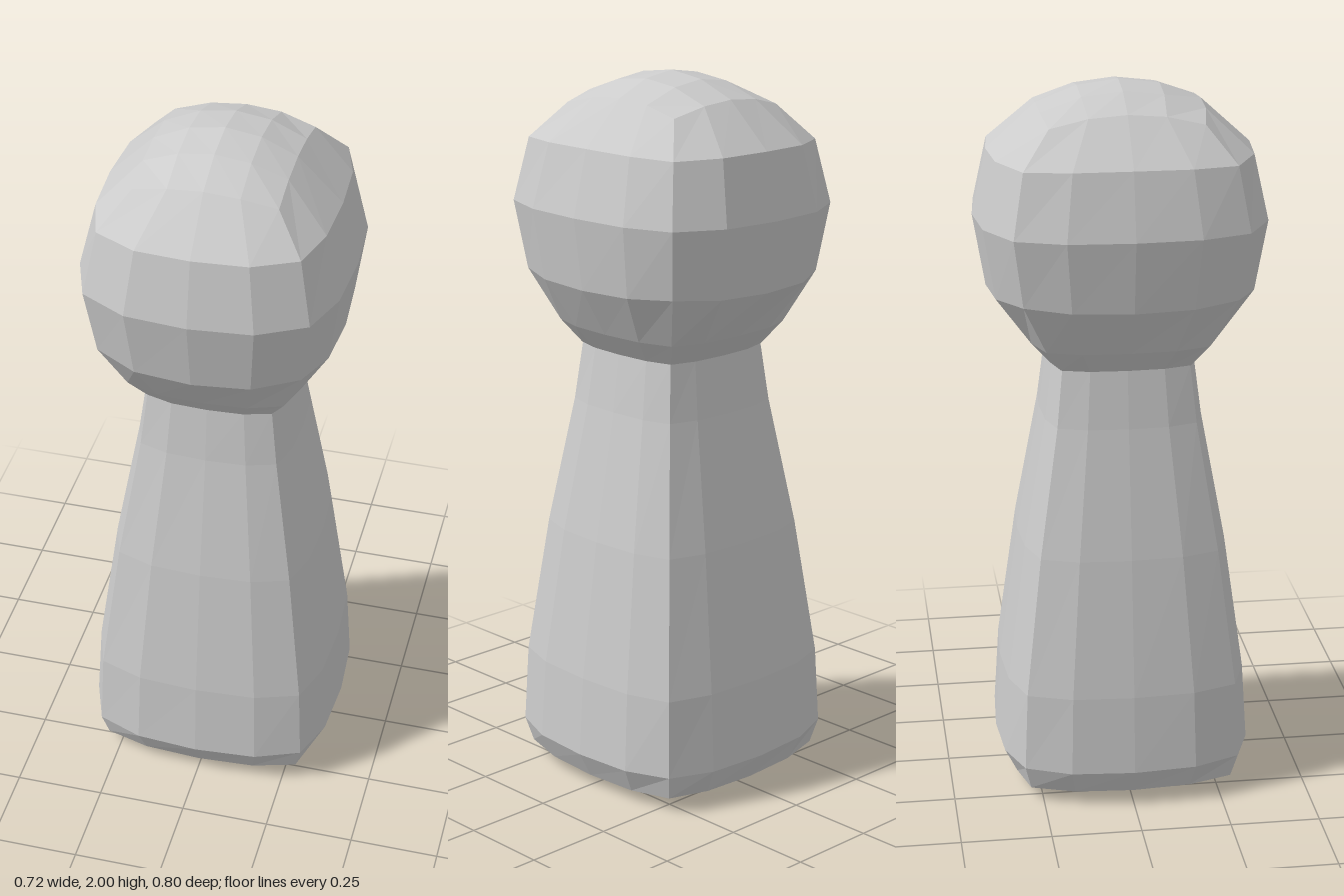
import * as THREE from 'three';

const BODY_CAP = 0, HEAD_CAP = 2; // y of the centre of each end cap

// Rings as [y at mid side, y at corner, x mid, z mid, x corner, z corner, quarter point]
const bodyRings = [
  [0.03, 0.04, 0.32, 0.32, 0.285, 0.285, 0.57],
  [0.105, 0.11, 0.36, 0.36, 0.302, 0.302, 0.58],
  [0.33, 0.33, 0.345, 0.345, 0.293, 0.293, 0.58],
  [0.72, 0.72, 0.29, 0.29, 0.247, 0.247, 0.58],
  [1.08, 1.08, 0.223, 0.223, 0.192, 0.192, 0.58],
  [1.24, 1.24, 0.2, 0.202, 0.174, 0.176, 0.58],
];
const headRings = [
  [1.24, 1.24, 0.2, 0.205, 0.174, 0.178, 0.57],
  [1.305, 1.305, 0.252, 0.262, 0.215, 0.222, 0.57],
  [1.44, 1.45, 0.333, 0.366, 0.275, 0.288, 0.57],
  [1.64, 1.64, 0.36, 0.4, 0.301, 0.314, 0.57],
  [1.82, 1.815, 0.314, 0.36, 0.268, 0.284, 0.56],
  [1.942, 1.91, 0.192, 0.225, 0.192, 0.208, 0.5],
];

// Point on a rounded square; u and v run from -1 to 1, the rim is where either reaches 1
function place(ring, u, v, peak) {
  const [ym, yc, xm, zm, xc, zc] = ring;
  const uu = u * u, vv = v * v;
  const m = ym - peak;
  return [
    u * (xm - (xm - xc) * Math.abs(v) ** 3),
    peak + m * (uu + vv) + (yc - peak - 2 * m) * uu * vv,
    v * (zm - (zm - zc) * Math.abs(u) ** 3),
  ];
}

const steps = (q) => [-1, -q, 0, q, 1];

// The sixteen rim points, starting along the front and running counter-clockwise from above
function rim(ring) {
  const s = steps(ring[6]);
  const points = [];
  for (let i = 0; i < 4; i++) points.push([s[i], 1]);
  for (let i = 0; i < 4; i++) points.push([1, -s[i]]);
  for (let i = 0; i < 4; i++) points.push([-s[i], -1]);
  for (let i = 0; i < 4; i++) points.push([-1, s[i]]);
  // Rim heights blend from mid side to corner
  return points.map(([u, v]) => place(ring, u, v, ring[0] === headRings[5][0] ? HEAD_CAP : ring[0] === bodyRings[0][0] ? BODY_CAP : ring[0]));
}

function buildPart(name, rings, capRing, peak, facesUp) {
  const position = [];
  const quad = (a, b, c, d) => position.push(...a, ...b, ...c, ...a, ...c, ...d);

  // Side walls
  const loops = rings.map(rim);
  for (let r = 0; r < loops.length - 1; r++) {
    for (let i = 0; i < 16; i++) {
      const j = (i + 1) % 16;
      quad(loops[r][i], loops[r][j], loops[r + 1][j], loops[r + 1][i]);
    }
  }

  // Domed end cap
  const s = steps(capRing[6]);
  const at = (i, j) => place(capRing, s[i], s[j], peak);
  for (let i = 0; i < 4; i++) {
    for (let j = 0; j < 4; j++) {
      const [a, b, c, d] = [at(i, j), at(i, j + 1), at(i + 1, j + 1), at(i + 1, j)];
      if (facesUp) quad(a, b, c, d);
      else quad(d, c, b, a);
    }
  }

  const geometry = new THREE.BufferGeometry();
  geometry.setAttribute('position', new THREE.Float32BufferAttribute(position, 3));
  geometry.computeVertexNormals();
  const material = new THREE.MeshStandardMaterial({ color: 0xcccccc, flatShading: true });
  const mesh = new THREE.Mesh(geometry, material);
  mesh.name = name;
  return mesh;
}

export function createModel() {
  const group = new THREE.Group();
  group.name = 'pegFigure';
  group.add(buildPart('body', bodyRings, bodyRings[0], BODY_CAP, false));
  group.add(buildPart('head', headRings, headRings[5], HEAD_CAP, true));
  return group;
}
